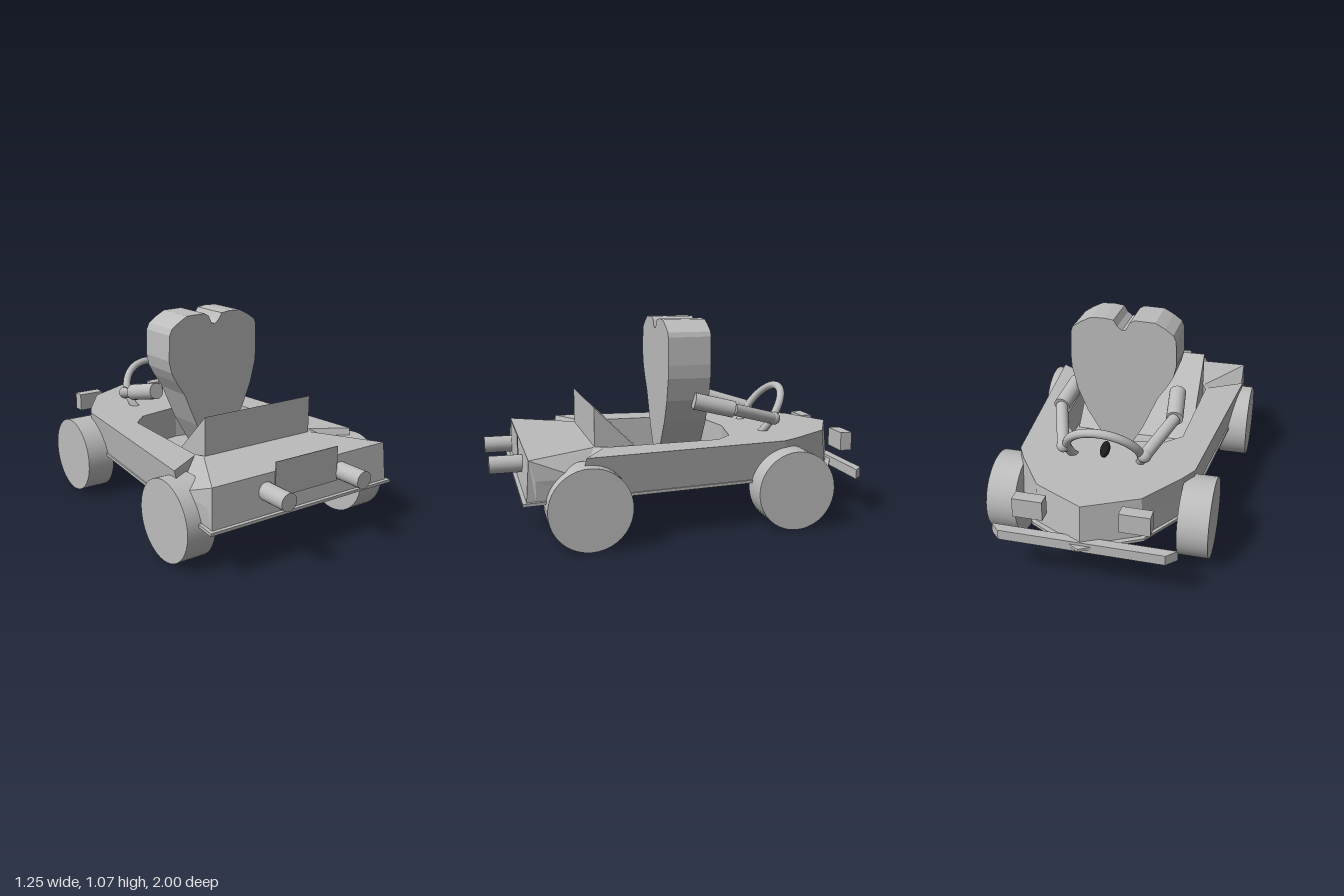
import * as THREE from 'three';

const V = (x, y, z) => new THREE.Vector3(x, y, z);

// Close a half outline (x >= 0) by mirroring it across x = 0.
function mirrored(half) {
  const other = half.filter(p => p[0] > 0).map(([x, ...r]) => [-x, ...r]).reverse();
  return [...half, ...other];
}

// Shape in the ground plane from [x, z] points.
const planShape = pts => new THREE.Shape(pts.map(([x, z]) => new THREE.Vector2(x, -z)));

function plate(pts, y, depth) {
  return new THREE.ExtrudeGeometry(planShape(pts), { depth, bevelEnabled: false })
    .rotateX(-Math.PI / 2).translate(0, y, 0);
}

function triangles(points) {
  const g = new THREE.BufferGeometry().setFromPoints(points);
  g.computeVertexNormals();
  return g;
}

// Flat-sided wall between two closed loops of [x, y, z].
function wall(low, high) {
  const out = [];
  low.forEach((p, i) => {
    const j = (i + 1) % low.length;
    const a = V(...p), b = V(...low[j]), c = V(...high[j]), d = V(...high[i]);
    out.push(a, d, c, a, c, b);
  });
  return triangles(out);
}

export function createModel() {
  const model = new THREE.Group();
  const grey = new THREE.MeshStandardMaterial({ color: 0xbcbcbc, side: THREE.DoubleSide });
  grey.name = 'light grey';
  const black = new THREE.MeshStandardMaterial({ color: 0x1c1c1c });
  black.name = 'black';

  function add(name, geometry, material = grey) {
    const mesh = new THREE.Mesh(geometry, material);
    mesh.name = name;
    model.add(mesh);
    return mesh;
  }
  function rod(name, a, b, r) {
    const m = add(name, new THREE.CylinderGeometry(r, r, a.distanceTo(b), 24));
    m.position.copy(a).lerp(b, 0.5);
    m.quaternion.setFromUnitVectors(V(0, 1, 0), b.clone().sub(a).normalize());
  }
  function ball(name, p, r) {
    add(name, new THREE.SphereGeometry(r, 24, 16)).position.copy(p);
  }

  // Underbody with projecting lip
  add('underbody', plate(mirrored([[0, -1], [0.28, -0.845], [0.43, -0.6], [0.57, 0.865]]), 0.235, 0.015));

  // Body sides, dipping at the notches over the rear wheels
  const top = 0.45;
  const low = [[0, -0.965], [0.27, -0.825], [0.415, -0.6], [0.43, -0.5], [0.535, 0.56],
    [0.537, 0.58], [0.545, 0.8], [0.55, 0.845]].map(([x, z]) => [x, 0.25, z]);
  const high = [[0, top, -0.945], [0.26, top, -0.81], [0.41, top, -0.59], [0.46, top, -0.5],
    [0.565, top, 0.56], [0.55, 0.35, 0.58], [0.55, 0.35, 0.8], [0.54, top, 0.83]];
  add('bodySides', wall(mirrored(low), mirrored(high)));

  // Top deck with the cockpit opening
  const opening = mirrored([[0, -0.31], [0.25, -0.265], [0.335, -0.18], [0.36, 0.42], [0.335, 0.48]]);
  const deck = planShape(mirrored([[0, -0.945], [0.26, -0.81], [0.41, -0.59], [0.46, -0.5],
    [0.565, 0.56], [0.37, 0.44], [0.345, 0.485], [0.54, 0.83]]));
  deck.holes.push(new THREE.Path(opening.map(([x, z]) => new THREE.Vector2(x, -z))));
  add('deck', new THREE.ShapeGeometry(deck).rotateX(-Math.PI / 2).translate(0, top, 0));
  add('cockpitSides', wall(opening.map(([x, z]) => [x, 0.25, z]), opening.map(([x, z]) => [x, top, z])));
  add('cockpitFloor', plate(opening, 0.25, 0.02));

  // Sloping faces of the rear notches
  for (const s of [1, -1]) {
    const a = V(s * 0.565, top, 0.56), b = V(s * 0.37, top, 0.44), c = V(s * 0.345, top, 0.485);
    const d = V(s * 0.54, top, 0.83), e = V(s * 0.55, 0.35, 0.58), f = V(s * 0.55, 0.35, 0.8);
    const faces = [[a, e, b], [b, e, c], [c, e, d], [d, e, f]];
    add('rearNotch', triangles(faces.flatMap(t => (s > 0 ? [t[0], t[2], t[1]] : t).slice().reverse())));
  }

  // Seat with sloping back
  const seat = new THREE.Shape([[0.08, 0.25], [0.48, 0.25], [0.48, 0.65]].map(p => new THREE.Vector2(...p)));
  add('seat', new THREE.ExtrudeGeometry(seat, { depth: 0.67, bevelEnabled: false })
    .rotateY(-Math.PI / 2).translate(0.335, 0, 0));

  // Heart-shaped driver
  const heart = new THREE.Shape([
    [0, 0.27], [0.12, 0.4], [0.2, 0.53], [0.25, 0.65], [0.28, 0.77], [0.285, 0.84], [0.28, 0.985], [0.27, 1.01],
    [0.225, 1.04], [0.17, 1.068], [0.1, 1.07], [0.05, 1.063], [0.03, 1.03], [0.005, 1.01], [-0.015, 1.015],
    [-0.035, 1.055], [-0.06, 1.07], [-0.17, 1.067], [-0.22, 1.04], [-0.265, 1.008], [-0.28, 0.975],
    [-0.285, 0.84], [-0.27, 0.775], [-0.24, 0.72], [-0.19, 0.645], [-0.11, 0.46],
  ].map(p => new THREE.Vector2(...p)));
  add('heartBody', new THREE.ExtrudeGeometry(heart, { depth: 0.23, bevelEnabled: false }).translate(0, 0, -0.15));

  for (const s of [1, -1]) {
    // Arms reaching for the steering wheel
    const shoulder = V(s * 0.28, 0.65, -0.06), elbow = V(s * 0.305, 0.6, -0.27), hand = V(s * 0.21, 0.52, -0.54);
    rod('upperArm', shoulder, elbow, 0.044);
    rod('forearm', elbow, hand, 0.032);
    ball('hand', hand, 0.035);

    // Wheels
    for (const [name, x, z] of [['rearWheel', 0.545, 0.55], ['frontWheel', 0.4925, -0.53]]) {
      const w = add(name, new THREE.CylinderGeometry(0.207, 0.207, 0.155, 40).rotateZ(Math.PI / 2));
      w.position.set(s * x, 0.207, z);
    }

    // Lamps and exhaust pipes
    add('lamp', new THREE.BoxGeometry(0.15, 0.1, 0.065)).position.set(s * 0.26, 0.395, -0.918);
    rod('exhaustPipe', V(s * 0.235, 0.365, 0.8), V(s * 0.235, 0.365, 1), 0.045);
  }

  // Steering wheel and its hub
  const wheel = add('steeringWheel', new THREE.TorusGeometry(0.192, 0.022, 16, 48));
  wheel.position.set(0, 0.51, -0.53);
  wheel.rotation.x = -0.6;
  const hub = add('steeringHub', new THREE.SphereGeometry(0.025, 16, 12), black);
  hub.scale.set(1, 1, 1.9);
  hub.position.set(0, 0.51, -0.51);
  hub.rotation.x = -0.5;

  // Bumper and rear plate
  add('bumper', plate(mirrored([[0, -0.97], [0.41, -0.97], [0.46, -0.92]]), 0.213, 0.052));
  add('rearPlate', new THREE.BoxGeometry(0.39, 0.18, 0.005)).position.set(0, 0.415, 0.85);

  return model;
}
